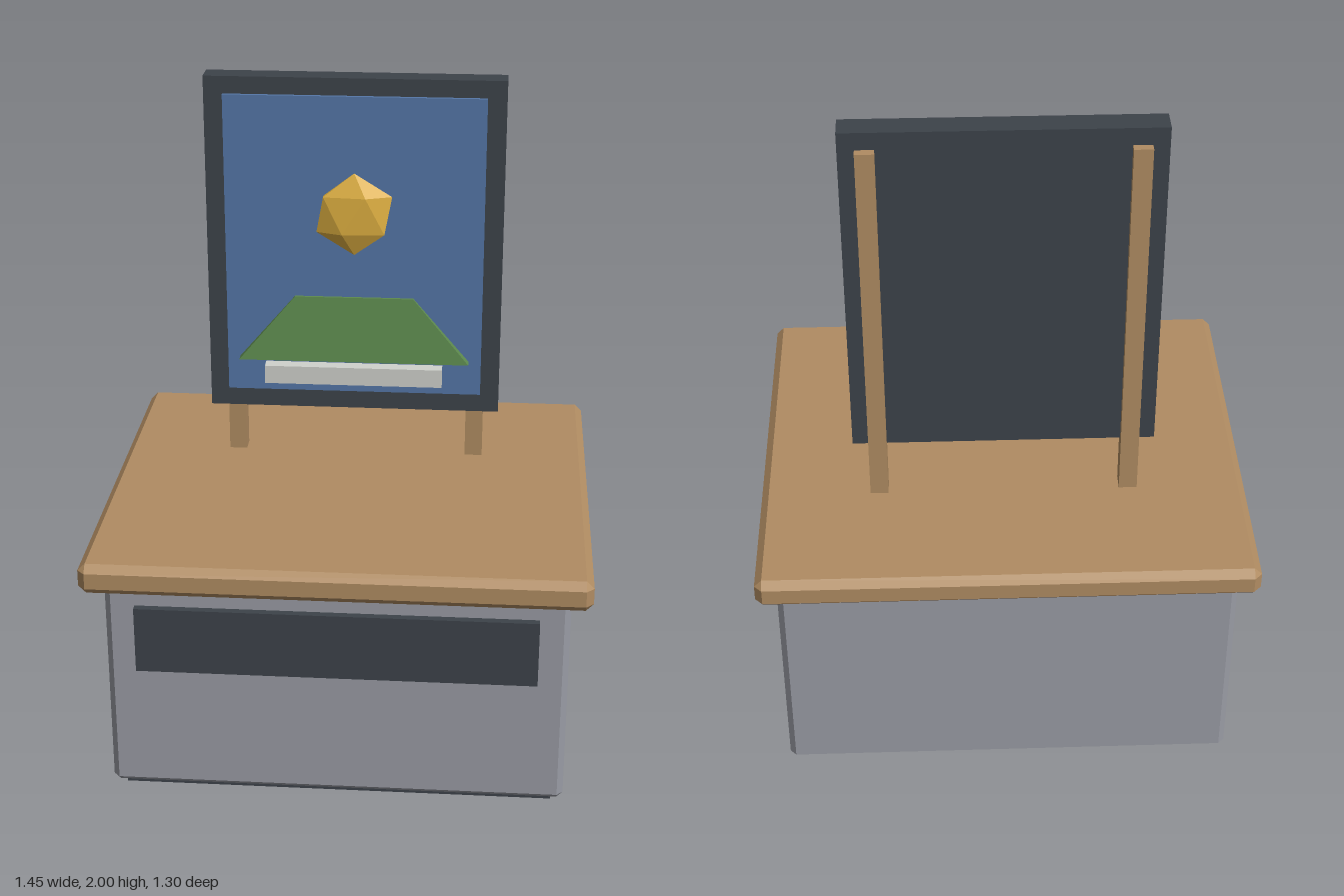
import * as THREE from 'three';
import { ConvexGeometry } from 'three/addons/geometries/ConvexGeometry.js';

const paint = (name, color) => {
  const m = new THREE.MeshStandardMaterial({ color });
  m.name = name;
  return m;
};

// Box with every edge cut by a flat chamfer
function chamferBox(w, h, d, c) {
  const points = [];
  for (const x of [-1, 1]) for (const y of [-1, 1]) for (const z of [-1, 1]) {
    const full = [w / 2, h / 2, d / 2];
    for (let axis = 0; axis < 3; axis++) {
      const p = full.map((v, i) => (i === axis ? v : v - c));
      points.push(new THREE.Vector3(p[0] * x, p[1] * y, p[2] * z));
    }
  }
  return new ConvexGeometry(points);
}

export function createModel() {
  const model = new THREE.Group();
  model.name = 'displayStand';

  const wood = paint('wood', 0xb08c62);
  const dark = paint('charcoal', 0x3d434a);
  const grey = paint('grey', 0x999ba4);
  const blue = paint('blue', 0x5577a8);
  const green = paint('green', 0x5d8a4e);
  const gold = paint('gold', 0xdfb041);
  const white = paint('offWhite', 0xd0d2cc);
  gold.flatShading = green.flatShading = true;

  const add = (name, geometry, material, x, y, z) => {
    const mesh = new THREE.Mesh(geometry, material);
    mesh.name = name;
    mesh.position.set(x, y, z);
    model.add(mesh);
    return mesh;
  };
  // Box given by its lower and upper limits on each axis
  const box = (name, material, [x0, x1], [y0, y1], [z0, z1], chamfer = 0) => {
    const size = [x1 - x0, y1 - y0, z1 - z0];
    const geometry = chamfer ? chamferBox(...size, chamfer) : new THREE.BoxGeometry(...size);
    return add(name, geometry, material, (x0 + x1) / 2, (y0 + y1) / 2, (z0 + z1) / 2);
  };

  // Cabinet
  box('plinth', dark, [-0.635, 0.635], [0, 0.06], [-0.56, 0.527]);
  box('cabinetBody', grey, [-0.67, 0.67], [0.02, 0.697], [-0.597, 0.563], 0.018);
  box('frontPanel', dark, [-0.582, 0.582], [0.418, 0.622], [0.55, 0.585]);
  box('tableTop', wood, [-0.727, 0.727], [0.695, 0.787], [-0.652, 0.652], 0.022);

  // Upright sign on two posts
  for (const [name, side] of [['leftPost', 1], ['rightPost', -1]]) {
    const post = box(name, wood, [0.346, 0.4], [0.75, 1.948], [-0.251, -0.197]);
    post.position.x *= side;
  }
  box('signFrame', dark, [-0.447, 0.447], [0.958, 2], [-0.226, -0.149]);
  box('signPanel', blue, [-0.39, 0.39], [1.018, 1.948], [-0.16, -0.137]);

  // Relief on the panel: faceted gem over a tapered mound and a bar
  const gemShape = new THREE.IcosahedronGeometry(0.127, 0);
  gemShape.rotateZ(-Math.atan(2 / (1 + Math.sqrt(5)))); // one corner straight up
  gemShape.scale(1, 1, 0.27);
  add('gem', gemShape, gold, 0, 1.59, -0.136);

  const moundShape = new THREE.CylinderGeometry(0.18 * Math.SQRT2, 0.352 * Math.SQRT2, 0.201, 4);
  moundShape.rotateY(Math.PI / 4);
  moundShape.scale(1, 1, 0.142);
  add('mound', moundShape, green, 0, 1.2275, -0.154);

  box('bar', white, [-0.272, 0.272], [1.055, 1.112], [-0.145, -0.094]);

  return model;
}
